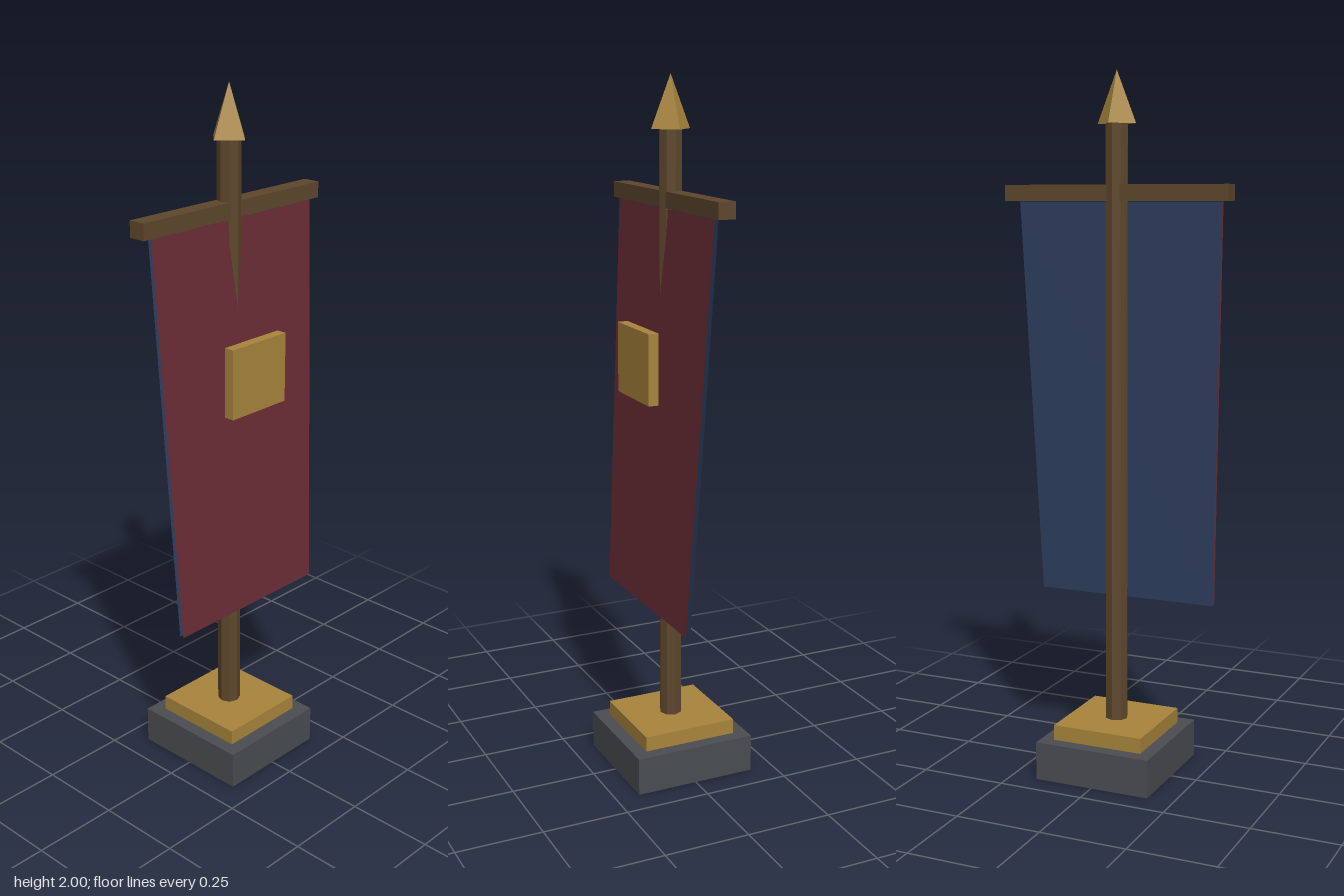
import * as THREE from 'three';

const mat = (name, color, extra = {}) => {
  const m = new THREE.MeshStandardMaterial({ color, flatShading: true, ...extra });
  m.name = name;
  return m;
};

export function createModel() {
  const group = new THREE.Group();
  const both = { side: THREE.DoubleSide };
  const wood = mat('wood', 0x5e472c);
  const gold = mat('gold', 0xa8853c, both);
  const stone = mat('stone', 0x4a4d50, both);
  const red = mat('red cloth', 0x6b2d37, both);
  const blue = mat('blue cloth', 0x2f3f60, both);

  const add = (name, geometry, material, y = 0, z = 0) => {
    const mesh = new THREE.Mesh(geometry, material);
    mesh.name = name;
    mesh.position.set(0, y, z);
    group.add(mesh);
  };

  // Hollow plinth, open underneath (fourth side of the box left out)
  const plinth = new THREE.BoxGeometry(0.346, 0.11, 0.36);
  const index = Array.from(plinth.index.array);
  index.splice(18, 6);
  plinth.setIndex(index);
  plinth.clearGroups();
  add('plinth', plinth, stone, 0.055);
  add('plinthStep', new THREE.BoxGeometry(0.27, 0.044, 0.28), gold, 0.132);

  // Pole, crossbar and spear tip
  add('pole', new THREE.CylinderGeometry(0.033, 0.033, 1.71, 8), wood, 1.005);
  add('crossbar', new THREE.BoxGeometry(0.674, 0.045, 0.05), wood, 1.6675);
  add('spearTip', new THREE.ConeGeometry(0.058, 0.145, 4, 1, true), gold, 1.9275);

  // Tapered cloth sheet sloping forward towards its lower edge
  const sheet = (zTop, zBottom) => {
    const geometry = new THREE.PlaneGeometry(2, 1);
    const p = geometry.attributes.position;
    for (let i = 0; i < p.count; i++) {
      const top = p.getY(i) > 0;
      p.setXYZ(i, p.getX(i) * (top ? 0.307 : 0.27), top ? 1.643 : 0.5, top ? zTop : zBottom);
    }
    geometry.computeVertexNormals();
    return geometry;
  };
  add('bannerFront', sheet(0.02, 0.08), red);
  add('bannerBack', sheet(0.009, 0.067).rotateY(0), blue);

  // Square emblem plate held in front of the cloth
  add('emblemPlate', new THREE.BoxGeometry(0.21, 0.2, 0.03), gold, 1.22, 0.1);

  return group;
}
